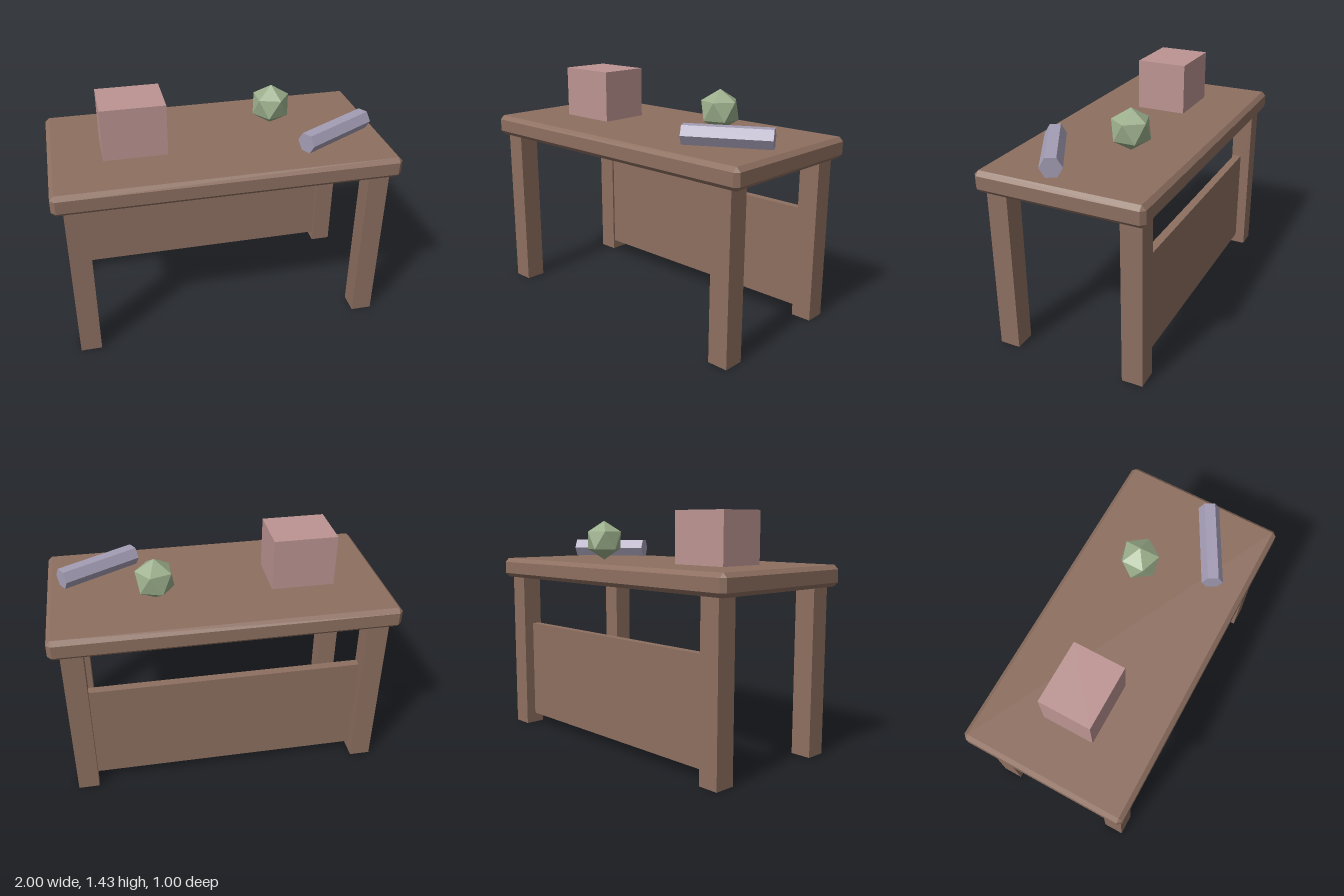
import * as THREE from 'three';
import { ConvexGeometry } from 'three/addons/geometries/ConvexGeometry.js';

function material(name, color) {
  const m = new THREE.MeshStandardMaterial({ color, flatShading: true });
  m.name = name;
  return m;
}

// Box with every edge and corner cut at 45 degrees
function chamferedBox(w, h, d, c) {
  const points = [];
  for (const x of [-1, 1]) for (const y of [-1, 1]) for (const z of [-1, 1]) {
    const [X, Y, Z] = [x * w / 2, y * h / 2, z * d / 2];
    points.push(
      new THREE.Vector3(X, Y - y * c, Z - z * c),
      new THREE.Vector3(X - x * c, Y, Z - z * c),
      new THREE.Vector3(X - x * c, Y - y * c, Z));
  }
  return new ConvexGeometry(points);
}

export function createModel() {
  const model = new THREE.Group();
  model.name = 'deskWithObjects';
  const wood = material('wood brown', 0x8d6f60);
  const pink = material('dusty pink', 0xbc9492);
  const green = material('sage green', 0x9caf8c);
  const lavender = material('grey lavender', 0xa49db5);

  function add(name, geometry, mat, x, y, z) {
    const mesh = new THREE.Mesh(geometry, mat);
    mesh.name = name;
    mesh.position.set(x, y, z);
    model.add(mesh);
    return mesh;
  }

  // Desk: top, four legs and the back panel
  add('tableTop', chamferedBox(2, 0.125, 1, 0.025), wood, 0, 1.0625, 0);
  for (const sx of [-1, 1]) for (const sz of [-1, 1]) {
    const name = (sz > 0 ? 'front' : 'back') + (sx > 0 ? 'Left' : 'Right') + 'Leg';
    add(name, new THREE.BoxGeometry(0.125, 1, 0.125), wood, sx * 0.875, 0.5, sz * 0.4);
  }
  add('backPanel', new THREE.BoxGeometry(1.625, 0.625, 0.05), wood, 0, 0.375, -0.375);

  // Box on the desk
  add('box', new THREE.BoxGeometry(0.375, 0.31, 0.31), pink, -0.5, 1.28, 0);

  // Twenty-sided ball standing on one vertex
  const ball = new THREE.IcosahedronGeometry(0.125, 0);
  ball.rotateZ(-Math.atan(2 / (1 + Math.sqrt(5))));
  add('ball', ball, green, 0.375, 1.25, -0.125);

  // Six-sided bar lying at an angle
  const bar = new THREE.CylinderGeometry(0.0625, 0.0625, 0.5, 6);
  bar.rotateZ(Math.PI / 2);
  add('hexBar', bar, lavender, 0.6875, 1.1875, 0.1875).rotation.y = 0.5;

  return model;
}
